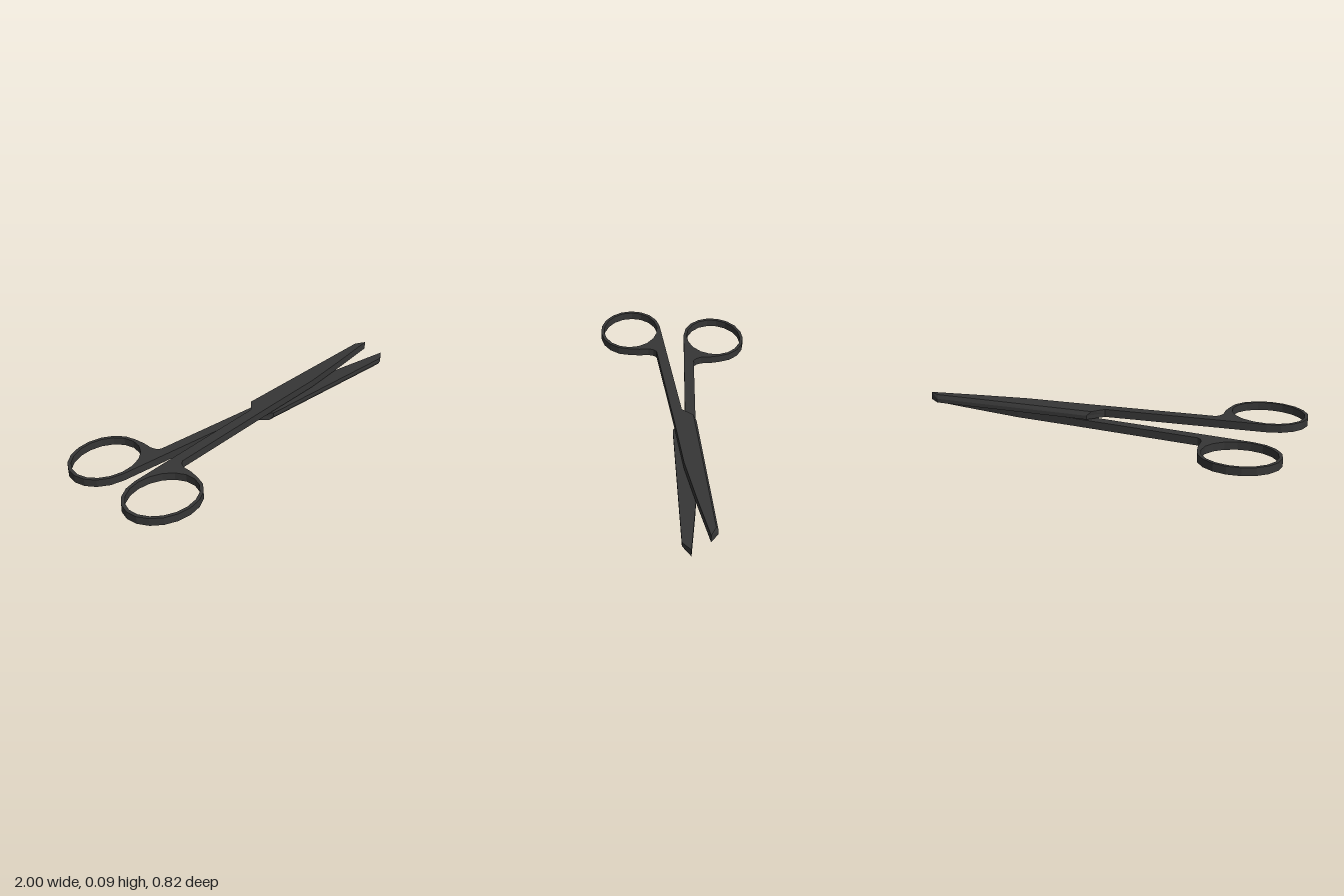
import * as THREE from 'three';

const THICK = 0.041;   // thickness of one half
const MID = 0.044;     // height of the contact plane between the halves
const RING = { x: -0.79, z: 0.238 };

// Points along an ellipse around the finger ring centre, as [x, z]
function ringArc(rx, rz, from, to, n) {
  return Array.from({ length: n + 1 }, (_, i) => {
    const a = THREE.MathUtils.degToRad(from + (to - from) * i / n);
    return [RING.x + rx * Math.cos(a), RING.z + rz * Math.sin(a)];
  });
}

// One half: finger ring, arm and blade as a single flat plate
function halfGeometry() {
  const heel = [0.06, -0.136], tip = [0.9, -0.23];
  const outline = [
    ...ringArc(0.205, 0.17, 0, 258, 13),
    [-0.01, -0.06], heel, tip, [0.955, -0.195],        // back of arm and blade
    [0.7, -0.133], [0.43, -0.072], [0.11, -0.024],     // cutting edge
    [-0.56, 0.083], [-0.577, 0.1], [-0.586, 0.13], [-0.581, 0.18], // fillet to ring
  ];
  const toVec = ([x, z]) => new THREE.Vector2(x, -z);
  const shape = new THREE.Shape(outline.map(toVec));
  // The hole runs the opposite way round so its wall faces inwards
  shape.holes.push(new THREE.Path(ringArc(0.187, 0.153, 340, 0, 17).map(toVec)));

  const geo = new THREE.ExtrudeGeometry(shape, { depth: THICK, steps: 2, bevelEnabled: false });
  geo.rotateX(-Math.PI / 2);
  geo.translate(0, MID + 0.003, 0);

  // Bevel the back of the blade by pulling its top corners inwards
  const pos = geo.attributes.position;
  const top = MID + 0.003 + THICK;
  for (let i = 0; i < pos.count; i++) {
    if (Math.abs(pos.getY(i) - top) > 1e-4) continue;
    for (const [[x, z], dx, dz] of [[heel, -0.02, 0.016], [tip, 0, 0.011]]) {
      if (Math.hypot(pos.getX(i) - x, pos.getZ(i) - z) < 1e-4) {
        pos.setX(i, x + dx);
        pos.setZ(i, z + dz);
      }
    }
  }
  geo.computeVertexNormals();
  return geo;
}

export function createModel() {
  const group = new THREE.Group();
  group.name = 'scissors';
  const material = new THREE.MeshStandardMaterial({ color: 0x363636, flatShading: true });

  const upper = new THREE.Mesh(halfGeometry(), material);
  upper.name = 'upperHalf';

  // Lower half: the same plate turned over about the centre line of the scissors
  const lower = new THREE.Mesh(upper.geometry, material);
  lower.name = 'lowerHalf';
  const axis = new THREE.Vector3(1, 0, -0.085).normalize();
  const centre = new THREE.Vector3(-0.795, MID, -0.0005);
  lower.quaternion.setFromAxisAngle(axis, Math.PI);
  lower.position.copy(centre)
    .sub(centre.clone().applyQuaternion(lower.quaternion))
    .addScaledVector(axis, 0.036);

  group.add(upper, lower);
  return group;
}
